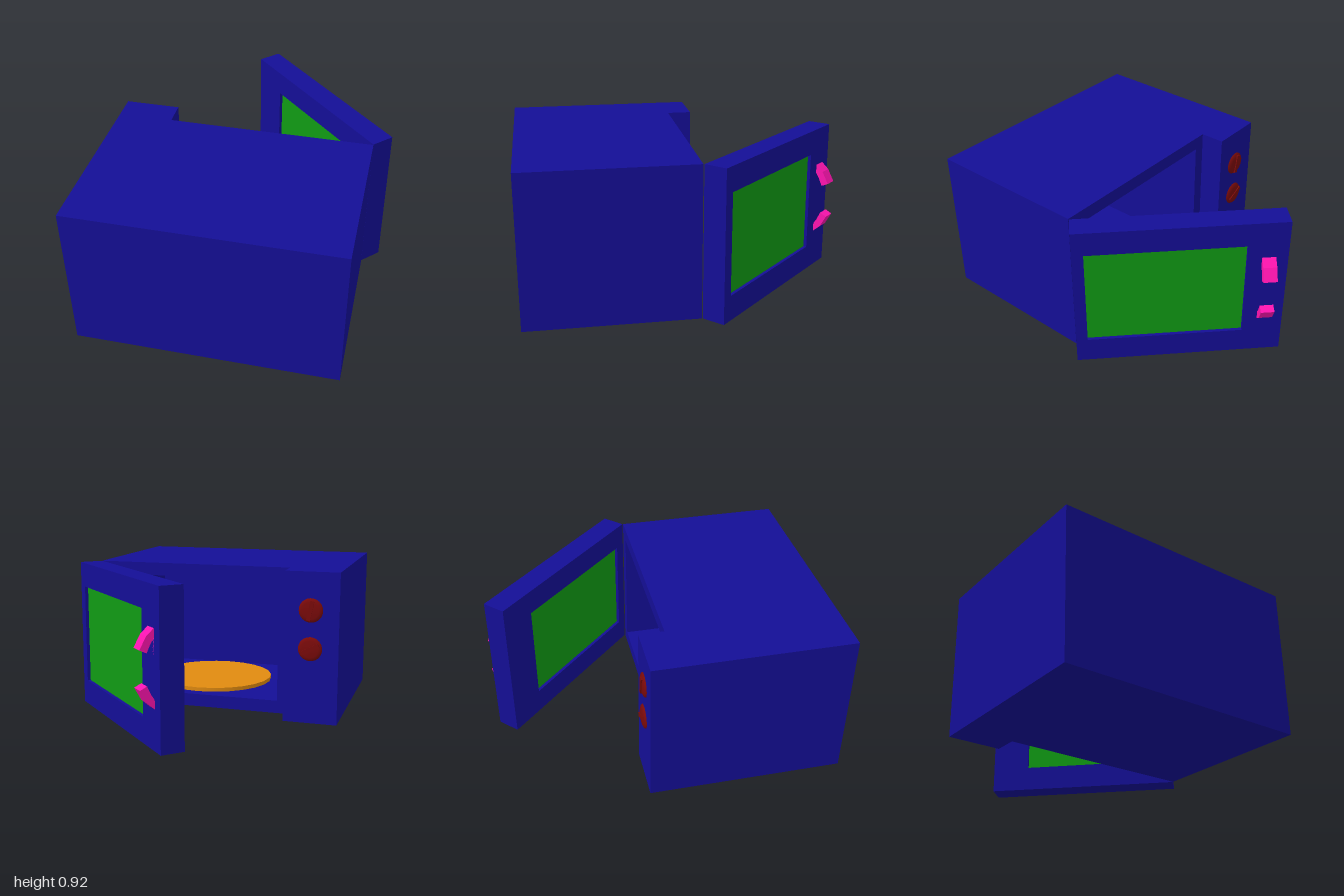
import * as THREE from 'three';

const paint = (color) => new THREE.MeshStandardMaterial({ color });
const BLUE = paint(0x140e96), GREEN = paint(0x109a14), PINK = paint(0xff14b0);
const RED = paint(0x7a0a0a), ORANGE = paint(0xe08a10);

function add(parent, name, geometry, material) {
  const mesh = new THREE.Mesh(geometry, material);
  mesh.name = name;
  parent.add(mesh);
  return mesh;
}

// Box given by its lower and upper corners
function box(parent, name, material, [x0, y0, z0], [x1, y1, z1]) {
  const mesh = add(parent, name, new THREE.BoxGeometry(x1 - x0, y1 - y0, z1 - z0), material);
  mesh.position.set((x0 + x1) / 2, (y0 + y1) / 2, (z0 + z1) / 2);
  return mesh;
}

const rect = (Type, x0, y0, x1, y1) => new Type([[x0, y0], [x1, y0], [x1, y1], [x0, y1]]
  .map(([x, y]) => new THREE.Vector2(x, y)));

// Rectangular plate with a rectangular opening, extruded along z
function frame(outer, inner, depth) {
  const shape = rect(THREE.Shape, ...outer);
  shape.holes.push(rect(THREE.Path, ...inner));
  return new THREE.ExtrudeGeometry(shape, { depth, bevelEnabled: false });
}

function makeKnob(name, y, turn) {
  const knob = new THREE.Group();
  knob.name = name;
  // Shallow dome facing -z
  const profile = [[0.073, 0], [0.068, 0.008], [0.05, 0.016], [0, 0.018]]
    .map(([r, h]) => new THREE.Vector2(r, h));
  add(knob, 'knobDome', new THREE.LatheGeometry(profile, 24), RED).rotation.x = -Math.PI / 2;
  // Raised grip across the dome
  box(knob, 'knobGrip', RED, [-0.012, -0.06, -0.023], [0.012, 0.06, 0]);
  knob.position.set(-0.67, y, -0.17);
  knob.rotation.z = turn;
  return knob;
}

function makeDoor() {
  // Local x runs from hinge to free edge, local z points outwards
  const door = new THREE.Group();
  door.name = 'door';
  const T = 0.143;
  add(door, 'doorFrame', frame([0, 0, 1.216, 0.92], [0.067, 0.155, 0.98, 0.77], T), BLUE);
  box(door, 'doorWindow', GREEN, [0.067, 0.155, 0.02], [0.98, 0.77, T - 0.02]);

  // Bowed pull handle: side profile as (outward, up), mirrored about its middle
  const outer = [[0, 0.223], [0.045, 0.183], [0.085, 0.11]];
  const inner = [[0.043, 0.09], [0.02, 0.14], [0, 0.17]];
  const flip = (pts) => pts.map(([a, b]) => [a, -b]).reverse();
  const outline = [...flip(inner), ...flip(outer), ...outer, ...inner]
    .map(([a, b]) => new THREE.Vector2(a, b));
  const handle = add(door, 'doorHandle',
    new THREE.ExtrudeGeometry(new THREE.Shape(outline), { depth: 0.08, bevelEnabled: false }), PINK);
  handle.rotation.y = -Math.PI / 2;
  handle.position.set(1.145, 0.463, T);

  // Swung open about the hinge edge
  door.position.set(0.73, 0, -0.025);
  door.rotation.y = Math.PI * 0.75;
  return door;
}

export function createModel() {
  const model = new THREE.Group();
  model.name = 'microwaveOven';

  // Hollow case, open towards -z, closed by a rear wall
  add(model, 'caseShell', frame([-0.84, 0, 0.73, 0.92], [-0.44, 0.08, 0.65, 0.84], 0.94), BLUE)
    .position.z = -0.02;
  box(model, 'caseBack', BLUE, [-0.84, 0, 0.92], [0.73, 0.92, 1]);
  box(model, 'controlPanel', BLUE, [-0.84, 0, -0.17], [-0.51, 0.92, -0.02]);

  // Turntable plate on the cavity floor
  add(model, 'turntable', new THREE.CylinderGeometry(0.39, 0.39, 0.025, 24), ORANGE)
    .position.set(0.11, 0.0925, 0.44);

  model.add(makeKnob('upperKnob', 0.69, 0.2), makeKnob('lowerKnob', 0.457, 1.1));
  model.add(makeDoor());
  return model;
}
